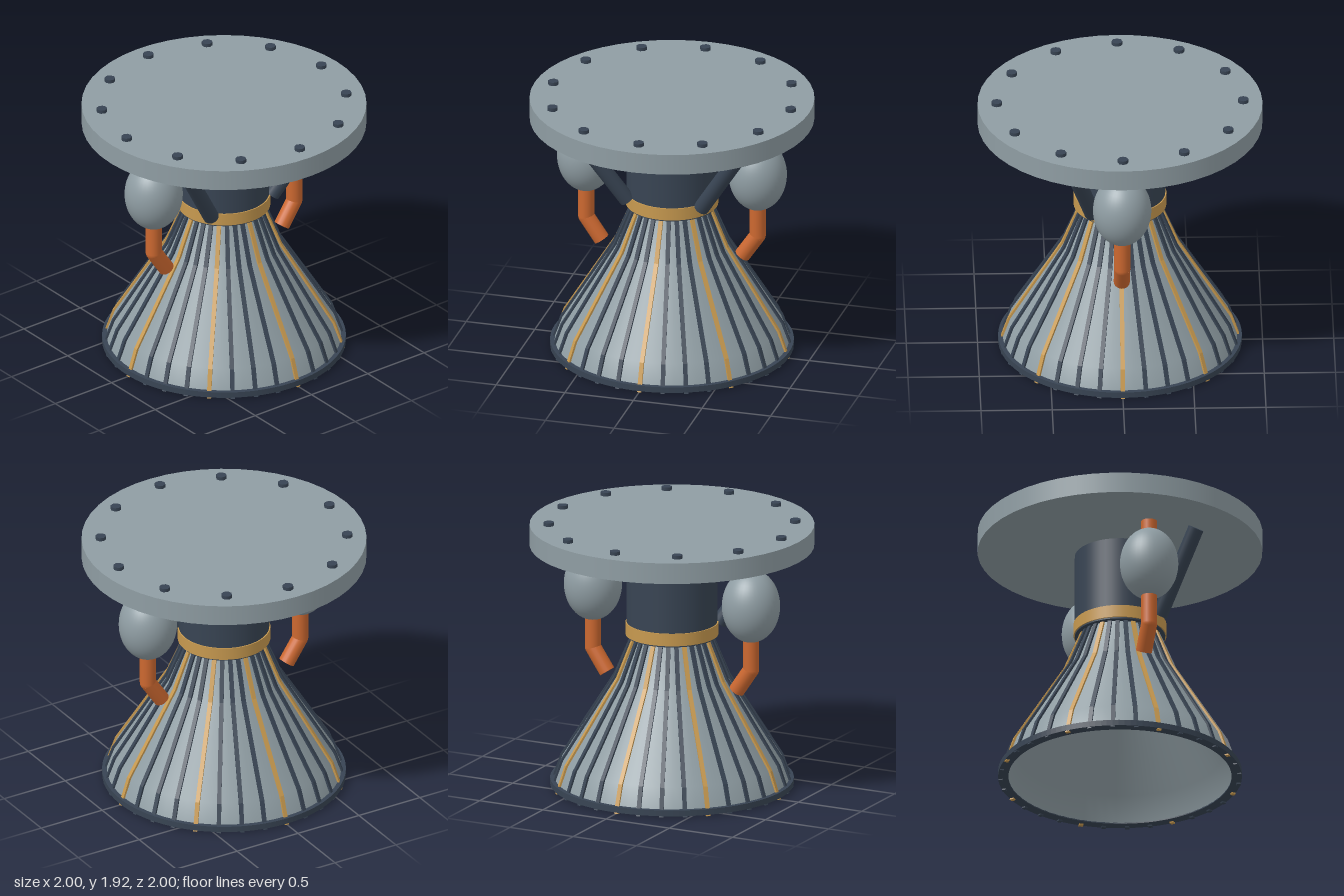
import * as THREE from 'three';

const mat = (name, color, extra = {}) => new THREE.MeshStandardMaterial({ name, color, ...extra });

export function createModel() {
  const model = new THREE.Group();
  model.name = 'rocketEngine';
  const steel = mat('paleSteel', 0x8f9da3);
  const dark = mat('darkSteel', 0x384453);
  const gold = mat('gold', 0xc7994f);
  const copper = mat('copper', 0xcc6830);

  const add = (name, geometry, material, parent = model) => {
    const mesh = new THREE.Mesh(geometry, material);
    mesh.name = name;
    parent.add(mesh);
    return mesh;
  };
  // upright cylinder between two heights
  const drum = (name, r, y0, y1, material, sides = 48) => {
    const mesh = add(name, new THREE.CylinderGeometry(r, r, y1 - y0, sides), material);
    mesh.position.y = (y0 + y1) / 2;
    return mesh;
  };
  // round bar between two points
  const rod = (name, a, b, r, material) => {
    const from = new THREE.Vector3(...a), to = new THREE.Vector3(...b);
    const axis = to.clone().sub(from);
    const mesh = add(name, new THREE.CylinderGeometry(r, r, axis.length(), 20), material);
    mesh.position.copy(from).add(to).multiplyScalar(0.5);
    mesh.quaternion.setFromUnitVectors(new THREE.Vector3(0, 1, 0), axis.normalize());
    return mesh;
  };
  const lathe = (points) =>
    new THREE.LatheGeometry(points.map(([r, y]) => new THREE.Vector2(r, y)), 64);

  // mounting plate with twelve bolts
  drum('mountingPlate', 1, 1.75, 1.9, steel);
  for (let i = 0; i < 12; i++) {
    const a = (i * Math.PI) / 6;
    const bolt = drum('plateBolt', 0.038, 1.89, 1.925, dark, 8);
    bolt.position.x = 0.865 * Math.sin(a);
    bolt.position.z = 0.865 * Math.cos(a);
  }

  // combustion chamber and collar
  drum('chamber', 0.318, 1.09, 1.71, dark);
  drum('collar', 0.326, 1.1, 1.19, gold);

  // bell nozzle: outer skin and inner skin (listed downwards so it faces inwards)
  const profile = [[0.837, 0.015], [0.77, 0.2], [0.395, 0.8], [0.27, 1.1]];
  const inner = [[0.23, 1.1], [0.355, 0.8], [0.725, 0.2], [0.785, 0.015]];
  add('nozzleSkin', lathe(profile), steel);
  add('nozzleLining', lathe(inner), steel);

  // flat rim around the mouth
  const rim = new THREE.Shape().absarc(0, 0, 0.855, 0, Math.PI * 2);
  rim.holes.push(new THREE.Path().absarc(0, 0, 0.783, 0, Math.PI * 2, true));
  const rimGeometry = new THREE.ExtrudeGeometry(rim, {
    depth: 0.042, bevelEnabled: false, curveSegments: 64,
  });
  rimGeometry.rotateX(-Math.PI / 2).translate(0, 0.012, 0);
  add('nozzleRim', rimGeometry, dark);

  // cooling ribs following the bell, every fourth one gold
  const line = [[0.838, 0.002], ...profile.slice(1)];
  const ribShape = new THREE.Shape([
    ...line.map(([r, y]) => new THREE.Vector2(r + 0.016, y)),
    ...line.map(([r, y]) => new THREE.Vector2(r - 0.012, y)).reverse(),
  ]);
  const ribGeometry = new THREE.ExtrudeGeometry(ribShape, { depth: 0.03, bevelEnabled: false });
  ribGeometry.translate(0, 0, -0.015);
  for (let i = 0; i < 32; i++) {
    const isGold = i % 4 === 0;
    const rib = add(isGold ? 'goldRib' : 'darkRib', ribGeometry, isGold ? gold : dark);
    rib.rotation.y = (i * Math.PI) / 16;
  }

  for (const s of [-1, 1]) {
    // side tank with its feed pipe
    const side = s > 0 ? 'left' : 'right';
    const tank = add(side + 'Tank', new THREE.SphereGeometry(0.205, 40, 28), steel);
    tank.scale.y = 1.28;
    tank.position.set(s * 0.625, 1.385, 0);
    rod(side + 'UpperPipe', [s * 0.625, 1.71, 0], [s * 0.625, 1.5, 0], 0.057, copper);
    rod(side + 'LowerPipe', [s * 0.625, 1.3, 0], [s * 0.625, 0.92, 0], 0.057, copper);
    const elbow = add(side + 'PipeElbow', new THREE.SphereGeometry(0.057, 20, 14), copper);
    elbow.position.set(s * 0.625, 0.92, 0);
    rod(side + 'PipeEnd', [s * 0.625, 0.92, 0], [s * 0.513, 0.755, 0], 0.057, copper);

    // slanted front strut
    rod(side + 'Strut', [s * 0.27, 1.17, 0.2], [s * 0.62, 1.715, 0.35], 0.056, dark);
  }

  return model;
}
